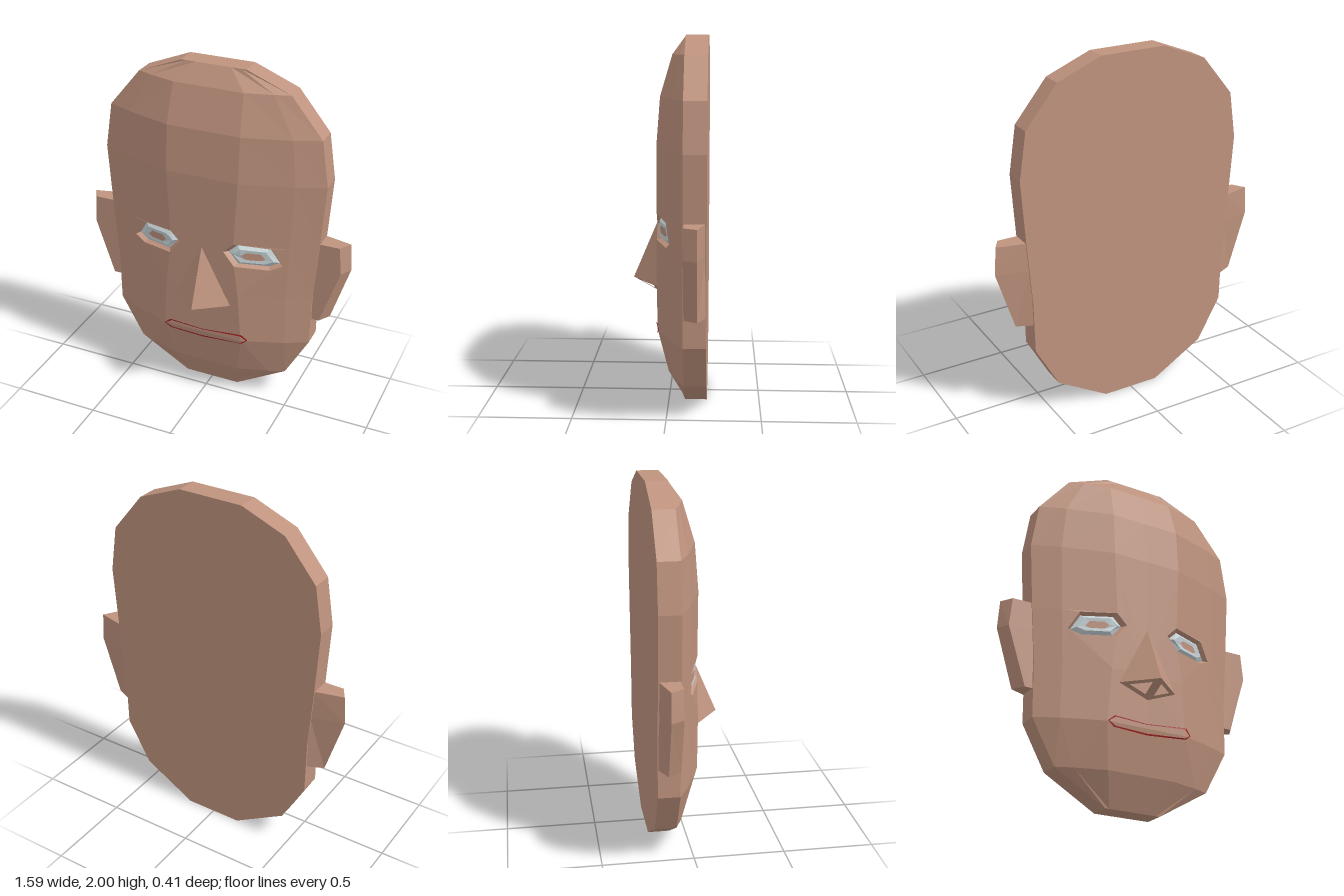
import * as THREE from 'three';

const skin = new THREE.MeshStandardMaterial({ color: 0xbf937e });
skin.name = 'skin';
const eyeGrey = new THREE.MeshStandardMaterial({ color: 0xc6d2d6 });
eyeGrey.name = 'eyeGrey';
const lipRed = new THREE.MeshStandardMaterial({ color: 0xa01c1c });
lipRed.name = 'lipRed';

const RIM = -0.09, BACK = -0.21;

// Head rows from crown to chin: height, half width, half width of the flat middle, front depth
const ROWS = [
  [2.0, 0.185, 0.1, RIM], [1.9, 0.435, 0.2, -0.02], [1.68, 0.615, 0.21, 0.045],
  [1.42, 0.655, 0.21, 0.065], [1.04, 0.63, 0.21, 0.065], [0.72, 0.605, 0.22, 0.065],
  [0.42, 0.6, 0.24, 0.058], [0.175, 0.465, 0.2, 0.0], [0, 0.165, 0.1, RIM],
];

// Four points of a half row, from the centre line out to the rim
function rowPoints([y, w, a, z]) {
  const bulge = 0.012 * (z - RIM) / 0.155;
  return [[0, y, z], [a, y, z], [a + (w - a) * 0.65, y, z + (RIM - z) * 0.65 + bulge], [w, y, RIM]];
}

// Depth of the face surface at any x, y
function depth(x, y) {
  let i = 0;
  while (i < ROWS.length - 2 && y < ROWS[i + 1][0]) i++;
  const t = (ROWS[i][0] - y) / (ROWS[i][0] - ROWS[i + 1][0]);
  const p = rowPoints(ROWS[i].map((v, k) => v + (ROWS[i + 1][k] - v) * t));
  const ax = Math.abs(x);
  for (let k = 0; k < 3; k++) {
    if (ax <= p[k + 1][0]) {
      return p[k][2] + (p[k + 1][2] - p[k][2]) * (ax - p[k][0]) / (p[k + 1][0] - p[k][0]);
    }
  }
  return RIM;
}

// Collects flat-shaded faces; side -1 mirrors them across x
class Faces {
  constructor() { this.data = []; this.side = 1; }
  tri(a, b, c) {
    const pts = this.side > 0 ? [a, b, c] : [a, c, b];
    for (const p of pts) this.data.push(p[0] * this.side, p[1], p[2]);
  }
  quad(a, b, c, d) { this.tri(a, b, c); this.tri(a, c, d); }
  ring(outer, inner) {
    outer.forEach((p, i) => {
      const j = (i + 1) % outer.length;
      this.quad(p, outer[j], inner[j], inner[i]);
    });
  }
  mesh(name, material) {
    const g = new THREE.BufferGeometry();
    g.setAttribute('position', new THREE.Float32BufferAttribute(this.data, 3));
    g.computeVertexNormals();
    const m = new THREE.Mesh(g, material);
    m.name = name;
    return m;
  }
}

// Eye outline, scaled about its middle and set into the face
const EYE = [[0.45, 0.93], [0.39, 1.035], [0.19, 1.05], [0.13, 0.99], [0.195, 0.91], [0.385, 0.9]];
function eyeLoop(sx, sy, dz) {
  return EYE.map(([x, y]) => {
    const px = 0.293 + (x - 0.293) * sx, py = 0.972 + (y - 0.972) * sy;
    return [px, py, depth(px, py) + dz];
  });
}

function buildHead() {
  const f = new Faces();
  const rows = ROWS.map(rowPoints);
  for (const side of [1, -1]) {
    f.side = side;
    for (let i = 0; i < rows.length - 1; i++) {
      const u = rows[i], l = rows[i + 1];
      const atEye = i === 3 || i === 4;
      for (let k = atEye ? 2 : 0; k < 3; k++) f.quad(u[k], l[k], l[k + 1], u[k + 1]);
      // slab edge and flat back
      const [bu, bl] = [u[3], l[3]].map((p) => [p[0], p[1], BACK]);
      f.quad(u[3], l[3], bl, bu);
      f.quad([0, bu[1], BACK], bu, bl, [0, bl[1], BACK]);
    }
    // crown and chin ends
    const [t, b] = [rows[0], rows[rows.length - 1]];
    f.quad(t[0], t[3], [t[3][0], t[3][1], BACK], [0, t[3][1], BACK]);
    f.quad([0, 0, BACK], [b[3][0], 0, BACK], b[3], b[0]);
    // cheek and brow panel with the eye opening
    const panel = [rows[3][0], rows[5][0], rows[5][1], rows[5][2], rows[4][2], rows[3][2], rows[3][1]];
    const hole = eyeLoop(1, 1, 0).reverse();
    const flat = (pts) => pts.map((p) => new THREE.Vector2(p[0], p[1]));
    const all = [...panel, ...hole];
    for (const [i, j, k] of THREE.ShapeUtils.triangulateShape(flat(panel), [flat(hole)])) {
      const [a, b2, c] = [all[i], all[j], all[k]];
      const area = (b2[0] - a[0]) * (c[1] - a[1]) - (b2[1] - a[1]) * (c[0] - a[0]);
      if (area > 0) f.tri(a, b2, c); else f.tri(a, c, b2);
    }
  }
  return f.mesh('head', skin);
}

// Recessed socket, bevelled eyeball and pupil
function buildEye(side) {
  const group = new THREE.Group();
  group.name = side > 0 ? 'leftEye' : 'rightEye';
  const socket = new Faces(), ball = new Faces(), pupil = new Faces();
  socket.side = ball.side = pupil.side = side;
  const edge = eyeLoop(0.86, 0.82, -0.028);
  const bevel = eyeLoop(0.68, 0.56, -0.012);
  const iris = eyeLoop(0.4, 0.3, -0.014);
  socket.ring(eyeLoop(1, 1, 0), edge);
  ball.ring(edge, bevel);
  ball.ring(bevel, iris);
  for (let i = 1; i < 5; i++) pupil.tri(iris[0], iris[i], iris[i + 1]);
  group.add(socket.mesh('eyeSocket', skin), ball.mesh('eyeball', eyeGrey), pupil.mesh('pupil', skin));
  return group;
}

// Pyramid nose with an open nostril on each side of the underside
function buildNose() {
  const f = new Faces();
  const top = [0, 0.99, 0.065], tip = [0, 0.658, 0.205];
  const wing = [0.175, 0.647, 0.064], base = [0, 0.58, 0.064];
  for (const side of [1, -1]) {
    f.side = side;
    f.tri(top, tip, wing);
    const under = [wing, tip, base];
    const mid = [0, 1, 2].map((k) => (wing[k] + tip[k] + base[k]) / 3);
    f.ring(under, under.map((p) => p.map((v, k) => mid[k] + (v - mid[k]) * 0.55)));
  }
  return f.mesh('nose', skin);
}

// Ear: three stacked cross-sections, each inner back, outer back, outer front, inner front
function buildEar(side) {
  const f = new Faces();
  f.side = side;
  const s = [[1.07, 0.785, 0.742, 0.62], [0.91, 0.795, 0.757, 0.61], [0.58, 0.692, 0.648, 0.605]]
    .map(([y, back, front, inner]) => [
      [inner, y, -0.205], [back, y, -0.165], [front, y, -0.095], [inner, y, -0.095]]);
  for (let r = 0; r < 2; r++) {
    for (let i = 0; i < 4; i++) {
      const j = (i + 1) % 4;
      f.quad(s[r][i], s[r][j], s[r + 1][j], s[r + 1][i]);
    }
  }
  f.quad(s[0][3], s[0][2], s[0][1], s[0][0]);
  f.quad(...s[2]);
  return f.mesh(side > 0 ? 'leftEar' : 'rightEar', skin);
}

// Thin lip line lying on the face
function buildLips() {
  const f = new Faces();
  const loop = [[0.28, 0.43], [0.245, 0.465], [0, 0.443], [-0.2, 0.456], [-0.24, 0.422],
    [-0.2, 0.394], [0, 0.383], [0.245, 0.402]];
  const place = ([x, y]) => [x, y, depth(x, y) + 0.006];
  const inner = loop.map(([x, y]) => [0.02 + (x - 0.02) * 0.965, 0.424 + (y - 0.424) * 0.78]);
  f.ring(loop.map(place), inner.map(place));
  return f.mesh('lips', lipRed);
}

export function createModel() {
  const model = new THREE.Group();
  model.name = 'face';
  model.add(buildHead(), buildNose(), buildLips());
  for (const side of [1, -1]) model.add(buildEye(side), buildEar(side));
  return model;
}
